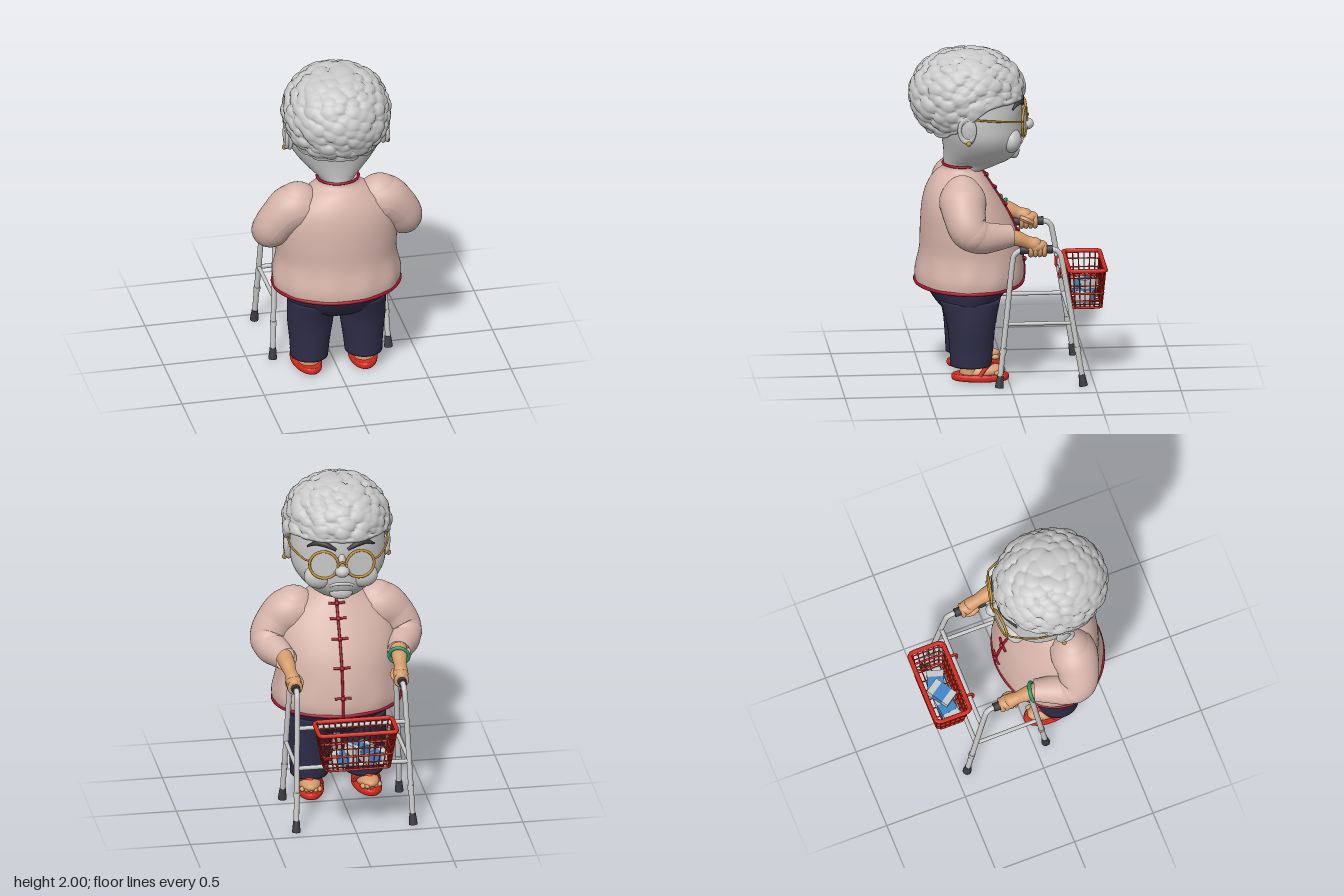
import * as THREE from 'three';
import { mergeVertices } from 'three/addons/utils/BufferGeometryUtils.js';

const mat = (name, color, side = THREE.FrontSide) => {
  const m = new THREE.MeshStandardMaterial({ color, side });
  m.name = name;
  return m;
};
const V = (x, y, z) => new THREE.Vector3(x, y, z);

function add(parent, name, geometry, material, pos = [0, 0, 0], rot = [0, 0, 0], scale = [1, 1, 1]) {
  const mesh = new THREE.Mesh(geometry, material);
  mesh.name = name;
  mesh.position.set(...pos);
  mesh.rotation.set(...rot);
  mesh.scale.set(...scale);
  parent.add(mesh);
  return mesh;
}

// smooth value of one column of a section table at parameter t in 0..1
const column = (rows, k) => {
  const c = new THREE.SplineCurve(rows.map((r, i) => new THREE.Vector2(i, r[k])));
  return (t) => c.getPoint(t).y;
};

// closed body through sections [y, half width, front z, back z, centre x], bottom to top
function loft(rows, { n = 48, m = 40, ripple = () => 1 } = {}) {
  const f = [0, 1, 2, 3, 4].map((k) => column(rows.map((r) => [...r, 0]), k));
  const pos = [], idx = [];
  for (let j = 0; j <= m; j++) {
    const [y, rx, zf, zb, cx] = f.map((g) => g(j / m));
    for (let i = 0; i < n; i++) {
      const a = (i / n) * Math.PI * 2, s = ripple(a, y);
      pos.push(cx + rx * s * Math.cos(a), y, (zf + zb) / 2 + ((zb - zf) / 2) * s * Math.sin(a));
      if (j < m) {
        const p = j * n + i, q = j * n + ((i + 1) % n);
        idx.push(p, p + n, q, q, p + n, q + n);
      }
    }
  }
  const c = pos.length / 3, first = rows[0], last = rows[rows.length - 1];
  for (const r of [first, last]) pos.push(r[4] || 0, r[0], (r[2] + r[3]) / 2);
  for (let i = 0; i < n; i++) {
    const k = (i + 1) % n;
    idx.push(c, i, k, c + 1, m * n + k, m * n + i);
  }
  const g = new THREE.BufferGeometry();
  g.setAttribute('position', new THREE.Float32BufferAttribute(pos, 3));
  g.setIndex(idx);
  g.computeVertexNormals();
  return g;
}

// tube of changing radius through points [x, y, z, r]
function limb(points, seg = 36, n = 24) {
  const curve = new THREE.CatmullRomCurve3(points.map((p) => V(p[0], p[1], p[2])));
  const r = column(points, 3);
  const g = new THREE.TubeGeometry(curve, seg, 1, n);
  const p = g.attributes.position, c = V(0, 0, 0), v = V(0, 0, 0);
  for (let i = 0; i < p.count; i++) {
    const u = Math.floor(i / (n + 1)) / seg;
    curve.getPointAt(u, c);
    v.fromBufferAttribute(p, i).sub(c).multiplyScalar(r(curve.getUtoTmapping(u))).add(c);
    p.setXYZ(i, v.x, v.y, v.z);
  }
  g.computeVertexNormals();
  return g;
}

const tube = (pts, r, { closed = false, seg = 40, n = 8, tension = 0.5 } = {}) =>
  new THREE.TubeGeometry(new THREE.CatmullRomCurve3(pts.map((p) => V(...p)), closed, 'catmullrom', tension), seg, r, n, closed);

// straight rod between two points
function rod(parent, name, a, b, r, material, r2 = r, n = 12) {
  const A = V(...a), B = V(...b), d = B.clone().sub(A);
  const mesh = add(parent, name, new THREE.CylinderGeometry(r2, r, d.length(), n), material, A.clone().add(B).multiplyScalar(0.5).toArray());
  mesh.quaternion.setFromUnitVectors(V(0, 1, 0), d.normalize());
  return mesh;
}

// ellipsoid cap with a hairline rule and rounded curls
function hairGeometry() {
  const g = new THREE.SphereGeometry(1, 150, 96);
  const p = g.attributes.position, v = V(0, 0, 0), curls = [];
  let seed = 7;
  const rnd = () => (seed = (seed * 16807) % 2147483647) / 2147483647;
  for (let i = 0; i < 260; i++) {
    const y = 1 - (2 * (i + 0.5)) / 260, a = i * 2.39996 + rnd() * 0.2, h = Math.sqrt(1 - y * y);
    curls.push([V(h * Math.cos(a), y, h * Math.sin(a)), 0.11 + rnd() * 0.07]);
  }
  for (let i = 0; i < p.count; i++) {
    v.fromBufferAttribute(p, i);
    const az = Math.abs(Math.atan2(v.x, -v.z)), w = Math.acos(THREE.MathUtils.clamp(v.y, -1, 1)) / Math.PI;
    const h = Math.hypot(v.x, v.z) || 1, cx = v.x / h, cz = v.z / h;
    const end = 1.55 + 0.85 * THREE.MathUtils.smoothstep(az, 1.0, 2.2);
    const th = end * Math.min(1, w / 0.88), curl = Math.max(0, (w - 0.88) / 0.12);
    const d = V(cx * Math.sin(th), Math.cos(th), cz * Math.sin(th));
    let bump = 0;
    for (const [q, r] of curls) bump = Math.max(bump, (r / 0.18) * Math.sqrt(Math.max(0, 1 - d.distanceToSquared(q) / (r * r))));
    const s = 1 + 0.075 * bump - 0.3 * curl * curl, hr = Math.pow(Math.sin(th), 0.8) * s;
    p.setXYZ(i, cx * hr * 0.31, 1.72 + Math.cos(th) * 0.26 * (1 + 0.075 * bump) - 0.02 * Math.sin(curl * Math.PI), 0.23 + cz * hr * 0.33);
  }
  g.deleteAttribute('uv');
  g.deleteAttribute('normal');
  const out = mergeVertices(g, 1e-5);
  out.computeVertexNormals();
  return out;
}

export function createModel() {
  const D = THREE.DoubleSide;
  const grey = mat('grey', 0xc8c8c8, D), pink = mat('blouse pink', 0xd6b4aa, D), crimson = mat('trim crimson', 0xa5142a);
  const navy = mat('trouser navy', 0x2e2d48), skin = mat('skin', 0xd39b6c), red = mat('red', 0xd62a1e);
  const dark = mat('dark rubber', 0x3b3b42), gold = mat('gold', 0xbf8f30), green = mat('jade green', 0x2f9a6c), blue = mat('packet blue', 0x3b86c6);
  const model = new THREE.Group();
  const group = (name, parent = model) => { const g = new THREE.Group(); g.name = name; parent.add(g); return g; };
  const ball = new THREE.SphereGeometry(1, 28, 20);

  // head, turned slightly to its left about the neck
  const pivot = group('head');
  pivot.position.z = 0.2;
  pivot.rotation.y = -0.07;
  const head = group('headParts', pivot);
  head.position.z = -0.2;
  add(head, 'face', loft([[1.25, 0.11, 0.16, 0.36], [1.3, 0.12, 0.03, 0.37], [1.34, 0.165, -0.04, 0.37], [1.41, 0.23, -0.085, 0.375],
    [1.49, 0.275, -0.095, 0.39], [1.58, 0.285, -0.092, 0.42], [1.67, 0.28, -0.095, 0.45], [1.76, 0.265, -0.075, 0.46], [1.87, 0.18, 0.02, 0.4]]), grey);
  add(head, 'hair', hairGeometry(), grey);
  add(head, 'nose', ball, grey, [0, 1.535, -0.12], [0, 0, 0], [0.043, 0.036, 0.045]);
  add(head, 'noseBridge', ball, grey, [0, 1.58, -0.095], [0.2, 0, 0], [0.024, 0.06, 0.025]);
  add(head, 'lips', tube([[-0.07, 1.425, -0.075], [-0.03, 1.44, -0.092], [0.03, 1.44, -0.092], [0.07, 1.425, -0.075]], 0.01), grey);
  add(head, 'chin', ball, grey, [0, 1.37, -0.045], [0, 0, 0], [0.07, 0.045, 0.035]);
  for (const s of [-1, 1]) {
    add(head, 'cheek', ball, grey, [s * 0.13, 1.47, -0.03], [0, 0, 0], [0.09, 0.075, 0.06]);
    add(head, 'nostril', ball, grey, [s * 0.035, 1.525, -0.1], [0, 0, 0], [0.022, 0.022, 0.025]);
    add(head, 'ear', ball, grey, [s * 0.29, 1.565, 0.23], [0, s * -0.3, s * -0.1], [0.025, 0.085, 0.05]);
    add(head, 'earRim', new THREE.TorusGeometry(0.045, 0.012, 10, 28), grey, [s * 0.302, 1.575, 0.235], [0, Math.PI / 2, 0], [1, 1.5, 1]);
    add(head, 'earring', ball, gold, [s * 0.31, 1.495, 0.225], [0, 0, 0], [0.015, 0.016, 0.015]);
    add(head, 'eyebrow', limb([[s * 0.035, 1.665, -0.098, 0.009], [s * 0.09, 1.695, -0.09, 0.016], [s * 0.15, 1.7, -0.066, 0.014], [s * 0.2, 1.67, -0.035, 0.005]], 24, 12), dark);
    const lens = group('lens', head);
    lens.position.set(s * 0.108, 1.575, -0.108);
    lens.rotation.y = s * -0.16;
    add(lens, 'lensRim', new THREE.TorusGeometry(0.086, 0.008, 10, 44), gold);
    add(lens, 'lensGlass', new THREE.CircleGeometry(0.084, 36), grey);
    add(head, 'templeArm', tube([[s * 0.193, 1.6, -0.092], [s * 0.225, 1.605, -0.07], [s * 0.285, 1.625, 0.07], [s * 0.297, 1.635, 0.22], [s * 0.297, 1.6, 0.28]], 0.006), gold);
  }
  add(head, 'glassesBridge', tube([[-0.025, 1.58, -0.122], [0, 1.595, -0.13], [0.025, 1.58, -0.122]], 0.007), gold);

  // blouse body
  const bodyRows = [[0.58, 0.38, -0.1, 0.54], [0.65, 0.385, -0.105, 0.54], [0.78, 0.362, -0.085, 0.515], [0.92, 0.362, -0.045, 0.51],
    [1.05, 0.345, 0.02, 0.5], [1.15, 0.29, 0.08, 0.475], [1.23, 0.19, 0.13, 0.43], [1.27, 0.135, 0.15, 0.385], [1.3, 0.125, 0.15, 0.375]];
  const ripple = (a, y) => 1 + 0.012 * Math.max(0, 1 - Math.abs(y - 0.66) / 0.14) * Math.sin(a * 11);
  const top = group('blouse');
  add(top, 'blouseBody', loft(bodyRows, { n: 96, ripple }), pink);
  const ring = (y, rx, zf, zb) => Array.from({ length: 32 }, (_, i) => {
    const a = (i / 32) * Math.PI * 2;
    return [rx * Math.cos(a), y, (zf + zb) / 2 + ((zb - zf) / 2) * Math.sin(a)];
  });
  add(top, 'hemTrim', tube(ring(0.585, 0.38, -0.1, 0.54), 0.011, { closed: true, seg: 96 }), crimson);
  add(top, 'collarTrim', tube(ring(1.3, 0.124, 0.148, 0.375), 0.008, { closed: true, seg: 64 }), crimson);
  const yAt = column(bodyRows, 0), zAt = column(bodyRows, 2);
  add(top, 'placket', tube(Array.from({ length: 20 }, (_, i) => [0.015, yAt(i / 19), zAt(i / 19) - 0.003]), 0.008, { seg: 60 }), crimson);
  for (const t of [0.18, 0.34, 0.49, 0.62, 0.74]) {
    const y = yAt(t), z = zAt(t) - 0.006;
    add(top, 'frogFastener', tube([[-0.035, y, z + 0.003], [0.015, y, z], [0.065, y, z + 0.004]], 0.008, { seg: 10 }), crimson);
    add(top, 'frogKnot', ball, crimson, [0.015, y, z - 0.006], [0, 0, 0], [0.014, 0.014, 0.012]);
  }

  // arms, legs and sandals
  for (const s of [-1, 1]) {
    const arm = group(s > 0 ? 'leftArm' : 'rightArm');
    add(arm, 'shoulder', ball, pink, [s * 0.25, 1.135, 0.28], [0, 0, 0], [0.14, 0.148, 0.125]);
    add(arm, 'sleeve', limb([[s * 0.2, 1.13, 0.28, 0.13], [s * 0.28, 1.125, 0.28, 0.14], [s * 0.355, 1.06, 0.275, 0.125], [s * 0.4, 0.985, 0.25, 0.115],
      [s * 0.4, 0.945, 0.19, 0.1], [s * 0.37, 0.935, 0.1, 0.085], [s * 0.338, 0.935, 0.0, 0.068]], 48, 32), pink);
    add(arm, 'elbow', ball, pink, [s * 0.405, 0.965, 0.23], [0, 0, 0], [0.11, 0.105, 0.11]);
    add(arm, 'forearm', limb([[s * 0.345, 0.935, 0.05, 0.05], [s * 0.336, 0.915, -0.04, 0.045], [s * 0.33, 0.89, -0.1, 0.037], [s * 0.325, 0.872, -0.15, 0.042], [s * 0.32, 0.86, -0.2, 0.02]]), skin);
    add(arm, 'palm', ball, skin, [s * 0.322, 0.86, -0.155], [0.2, 0, 0], [0.046, 0.038, 0.065]);
    for (let i = 0; i < 4; i++)
      add(arm, 'finger', new THREE.TorusGeometry(0.032, 0.0145, 10, 24), skin, [s * 0.32, 0.84, -0.12 - i * 0.027]);
    add(arm, 'thumb', limb([[s * 0.29, 0.87, -0.11, 0.015], [s * 0.277, 0.855, -0.15, 0.017], [s * 0.283, 0.835, -0.185, 0.012]], 12, 10), skin);
    if (s < 0) add(arm, 'bangle', new THREE.TorusGeometry(0.058, 0.011, 12, 40), green, [-0.337, 0.915, -0.01], [-0.3, -0.25, 0]);

    const leg = group(s > 0 ? 'leftLeg' : 'rightLeg');
    add(leg, 'trouserLeg', loft([[0.1, 0.112, 0.1, 0.345, s * 0.165], [0.2, 0.12, 0.09, 0.35, s * 0.162], [0.35, 0.138, 0.075, 0.365, s * 0.158], [0.5, 0.145, 0.045, 0.41, s * 0.15]], { n: 40, m: 16 }), navy);
    const foot = group('sandal', leg);
    foot.position.set(s * 0.172, 0, 0.17);
    foot.rotation.y = s * -0.08;
    add(foot, 'sole', loft([[0.01, 0.078, -0.165, 0.16], [0.02, 0.085, -0.172, 0.168], [0.04, 0.085, -0.172, 0.168], [0.05, 0.077, -0.163, 0.16]], { m: 10 }), red);
    add(foot, 'foot', ball, skin, [0, 0.06, -0.02], [0.12, 0, 0], [0.066, 0.045, 0.13]);
    add(foot, 'ankle', new THREE.CylinderGeometry(0.055, 0.06, 0.09, 24), skin, [0, 0.09, 0.06]);
    for (let i = 0; i < 5; i++)
      add(foot, 'toe', ball, skin, [s * (i - 2) * 0.026, 0.06, -0.128 + Math.abs(i - 1.5) * 0.008], [0, 0, 0], [0.015, 0.015, 0.023]);
    for (const e of [-1, 1])
      add(foot, 'strap', tube([[e * 0.076, 0.045, 0.0], [e * 0.056, 0.092, -0.035], [0, 0.102, -0.075], [-0.005, 0.05, -0.135]], 0.012, { seg: 24 }), red);
  }
  add(model, 'trouserSeat', loft([[0.4, 0.2, 0.09, 0.35], [0.44, 0.27, 0.05, 0.4], [0.5, 0.3, 0.02, 0.445], [0.58, 0.315, -0.04, 0.485], [0.64, 0.32, -0.06, 0.49]]), navy);

  // walking frame
  const frame = group('walkingFrame');
  for (const s of [-1, 1]) {
    add(frame, 'sideTube', tube([[s * 0.35, 0.06, 0.065], [s * 0.335, 0.42, 0.025], [s * 0.321, 0.75, -0.01], [s * 0.32, 0.815, -0.028], [s * 0.32, 0.84, -0.075],
      [s * 0.32, 0.84, -0.16], [s * 0.32, 0.84, -0.25], [s * 0.322, 0.82, -0.288], [s * 0.325, 0.76, -0.308], [s * 0.337, 0.42, -0.365], [s * 0.35, 0.06, -0.425]], 0.0165, { seg: 120, n: 14 }), grey);
    rod(frame, 'handGrip', [s * 0.32, 0.84, -0.055], [s * 0.32, 0.84, -0.25], 0.026, dark, 0.026, 20);
    rod(frame, 'sideBar', [s * 0.336, 0.39, 0.028], [s * 0.338, 0.39, -0.37], 0.012, grey);
    for (const [zf, zt] of [[0.07, 0.047], [-0.432, -0.4]]) {
      rod(frame, 'rubberFoot', [s * 0.352, 0.005, zf], [s * 0.349, 0.075, zf + (zt - zf) * 0.32], 0.026, dark, 0.019, 20);
      rod(frame, 'legCollar', [s * 0.343, 0.215, zt], [s * 0.342, 0.245, zt + (zt > 0 ? -0.003 : 0.005)], 0.02, grey, 0.02, 16);
    }
  }
  for (const [y, z] of [[0.39, -0.37], [0.63, -0.33]]) rod(frame, 'frontCrossbar', [-0.333, y, z], [0.333, y, z], 0.0135, grey);

  // wire basket, tapering downward
  const basket = group('basket');
  const zc = -0.468, at = (y) => { const k = (y - 0.44) / 0.24; return [0.195 + 0.04 * k, 0.088 + 0.02 * k]; };
  const loop = (y) => {
    const [w, d] = at(y), c = 0.03, out = [];
    for (const [sx, sz, a0] of [[1, 1, 0], [-1, 1, 1], [-1, -1, 2], [1, -1, 3]])
      for (let i = 0; i <= 3; i++) {
        const a = (a0 + i / 3) * Math.PI / 2;
        out.push([sx * (w - c) + c * Math.cos(a), y, zc + sz * (d - c) + c * Math.sin(a)]);
      }
    return out;
  };
  [0.44, 0.485, 0.53, 0.58, 0.63, 0.675].forEach((y, i) =>
    add(basket, i === 5 ? 'basketRim' : 'basketHoop', tube(loop(y), [0.007, 0.004, 0.007, 0.004, 0.004, 0.014][i], { closed: true, seg: 96, tension: 0.2 }), red));
  const [bw, bd] = at(0.44), [tw, td] = at(0.675);
  for (let i = 0; i <= 12; i++) {
    const k = (i / 6 - 1) * 0.92;
    for (const e of [-1, 1]) rod(basket, 'longSideWire', [k * bw, 0.44, zc + e * bd], [k * tw, 0.675, zc + e * td], 0.004, red, 0.004, 6);
    if (i % 2 === 0) rod(basket, 'floorWire', [k * bw, 0.44, zc - bd], [k * bw, 0.44, zc + bd], 0.004, red, 0.004, 6);
  }
  for (let i = 0; i <= 5; i++) {
    const k = (i / 2.5 - 1) * 0.8;
    for (const e of [-1, 1]) rod(basket, 'shortSideWire', [e * bw, 0.44, zc + k * bd], [e * tw, 0.675, zc + k * td], 0.004, red, 0.004, 6);
    if (i % 2) rod(basket, 'floorWire', [-bw, 0.44, zc + k * bd], [bw, 0.44, zc + k * bd], 0.004, red, 0.004, 6);
  }
  for (const x of [-0.135, 0.132])
    add(basket, 'basketHook', tube([[x, 0.672, -0.36], [x, 0.67, -0.32], [x, 0.64, -0.308], [x, 0.61, -0.312]], 0.008, { seg: 16 }), red);

  // packets lying in the basket
  for (const [x, y, z, a, t] of [[-0.105, 0.485, -0.46, 0.15, 0], [0.065, 0.485, -0.468, -0.3, 0], [-0.02, 0.535, -0.465, 0.6, 0.12]]) {
    const pack = group('packet', basket);
    pack.position.set(x, y, z);
    pack.rotation.set(0, a, t);
    add(pack, 'packetBand', new THREE.BoxGeometry(0.07, 0.062, 0.102), blue);
    for (const e of [-1, 1]) add(pack, 'packetEnd', new THREE.BoxGeometry(0.04, 0.06, 0.1), grey, [e * 0.055, 0, 0]);
  }
  return model;
}
